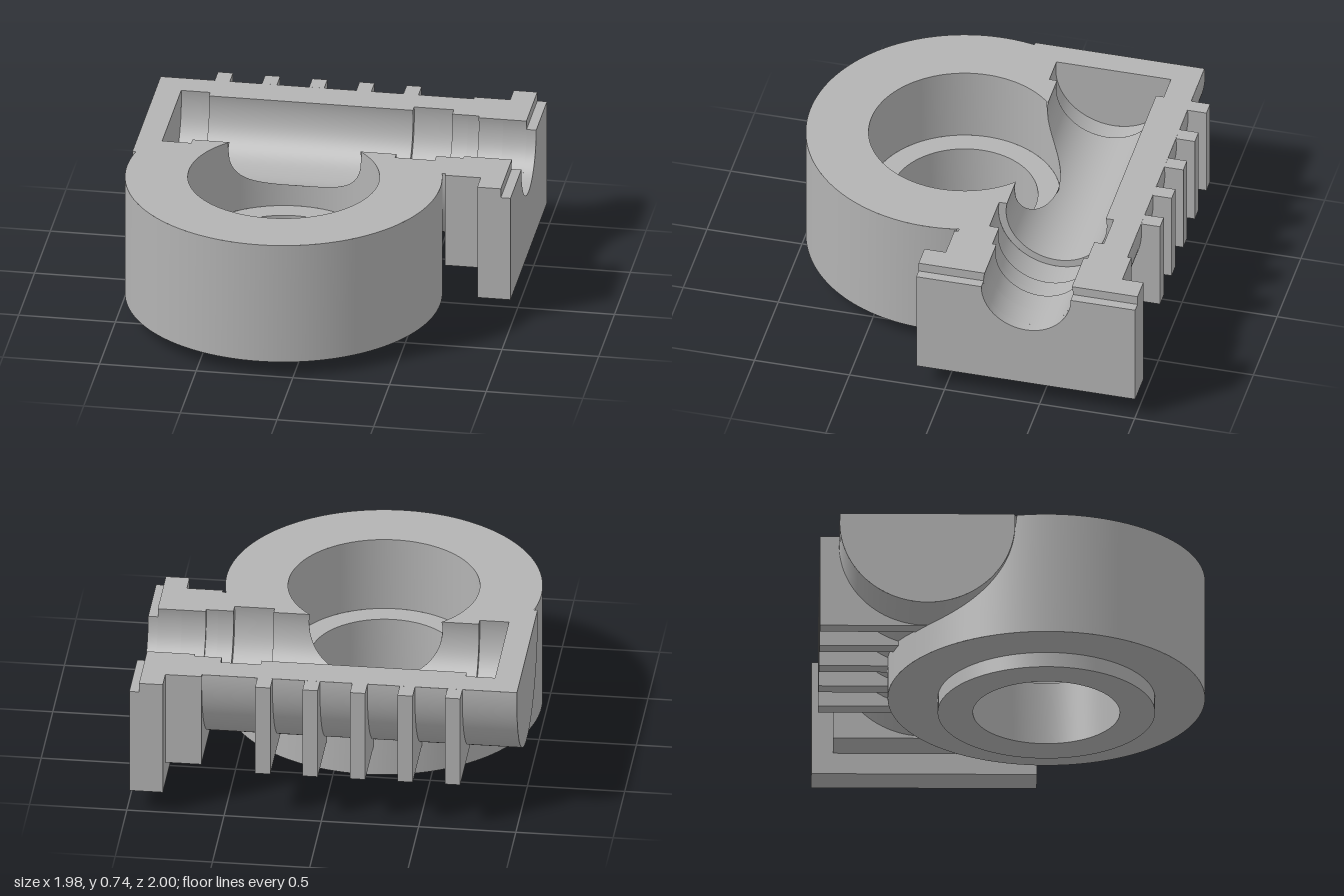
import * as THREE from 'three';
import { toCreasedNormals } from 'three/addons/utils/BufferGeometryUtils.js';

const TOP = 0.74;                                // split plane of the housing
const WX = -0.18, WZ = 0.19;                     // wheel axis (vertical)
const SY = 0.69, SZ = -0.425;                    // shaft axis (along x)
const RIM = 0.81, POCKET = 0.49, LEDGE = 0.34;   // wheel housing radii, pocket floor
const SHELL = 0.448;                             // shaft housing radius
// stepped shaft bore: [x start, x end, radius]
const BORE = [[-0.86, -0.71, 0.305], [-0.71, 0.345, 0.265], [0.345, 0.55, 0.305], [0.55, 0.63, 0.255]];

// Half width of a shaft-axis circle where it meets the split plane
const half = (r) => Math.sqrt(r * r - (TOP - SY) ** 2);
// Half width in x of a wheel-axis circle at a given z
const chord = (R, z) => Math.sqrt(Math.max(0, R * R - (z - WZ) ** 2));

// Point on a shaft-axis arc, t from 0 (back edge) to 1 (front edge), as [y, z]
function arc(r, t) {
  if (r === 0) return [TOP, SZ];
  const a = (2 * t - 1) * (Math.PI / 2 + Math.asin((TOP - SY) / r));
  return [SY - r * Math.cos(a), SZ + r * Math.sin(a)];
}

// Grid surface from fn(u, v) -> [x, y, z]
function grid(nu, nv, fn) {
  const pos = [], idx = [];
  for (let i = 0; i <= nu; i++) {
    for (let j = 0; j <= nv; j++) {
      pos.push(...fn(i / nu, j / nv));
      if (i < nu && j < nv) {
        const a = i * (nv + 1) + j, b = a + nv + 1;
        idx.push(a, b, a + 1, b, b + 1, a + 1);
      }
    }
  }
  const g = new THREE.BufferGeometry();
  g.setAttribute('position', new THREE.Float32BufferAttribute(pos, 3));
  g.setIndex(idx);
  g.computeVertexNormals();
  return g;
}

// Trough along x, left open where the wheel circle R passes through it
function trough(x0, x1, r, R, side) {
  return grid(128, 1, (t, v) => {
    const [y, z] = arc(r, t);
    const inner = WX + side * chord(R, z);
    const end = side < 0 ? x0 : x1;
    return [end + (inner - end) * v, y, z];
  });
}

// Flat step between two radii at a given x
const step = (x, r0, r1) => grid(48, 1, (t, v) => [x, ...arc(v ? r1 : r0, t)]);

// Upright wheel wall whose top edge follows the shaft circle of radius r
function wall(R, y0, r) {
  return grid(256, 1, (u, v) => {
    const a = u * Math.PI * 2;
    const x = WX + R * Math.sin(a), z = WZ - R * Math.cos(a);
    const d = z - SZ;
    const top = Math.abs(d) < half(r) ? SY - Math.sqrt(r * r - d * d) : TOP;
    return [x, v ? top : y0, z];
  });
}

// Extrude a profile drawn in (z, y) from x0 to x1
function alongX(shape, x0, x1) {
  const g = new THREE.ExtrudeGeometry(shape, { depth: x1 - x0, bevelEnabled: false, curveSegments: 32 });
  g.rotateY(-Math.PI / 2);        // profile x becomes +z, depth becomes -x
  g.translate(x1, 0, 0);
  return toCreasedNormals(g, 0.5);
}

// Block with a round channel in its top
function block(x0, x1, z0, z1, y0, y1, r) {
  const s = new THREE.Shape();
  s.moveTo(z0, y1);
  s.lineTo(z0, y0);
  s.lineTo(z1, y0);
  s.lineTo(z1, y1);
  const lift = Math.asin((y1 - SY) / r);
  for (let i = 0; i <= 48; i++) {
    const a = (1 - 2 * i / 48) * (Math.PI / 2 + lift);
    s.lineTo(SZ + r * Math.sin(a), SY - r * Math.cos(a));
  }
  return alongX(s, x0, x1);
}

// Flat top: outer outline plus the shaft slot and wheel pocket, as one contour
function topFace() {
  const p = [[-0.99, -0.87], [0.63, -0.87]];
  const circle = (R, a0, a1) => {
    for (let i = 0; i <= 96; i++) {
      const a = a0 + (a1 - a0) * i / 96;
      p.push([WX + R * Math.sin(a), WZ - R * Math.cos(a)]);
    }
  };
  for (const [x0, x1, r] of [...BORE].reverse()) p.push([x1, SZ - half(r)], [x0, SZ - half(r)]);
  const [left, mid, ...rest] = BORE;
  p.push([left[0], SZ + half(left[2])], [left[1], SZ + half(left[2])]);
  const zm = SZ + half(mid[2]);
  p.push([mid[0], zm]);
  const a = Math.atan2(chord(POCKET, zm), WZ - zm);
  circle(POCKET, Math.PI * 2 - a, a);
  p.push([mid[1], zm]);
  for (const [x0, x1, r] of rest) p.push([x0, SZ + half(r)], [x1, SZ + half(r)]);
  p.push([0.63, 0.02]);
  const b = Math.atan2(chord(RIM, 0.02), WZ - 0.02);
  circle(RIM, b, Math.PI * 2 - b);
  p.push([-0.99, 0.02]);
  const g = new THREE.ShapeGeometry(new THREE.Shape(p.map(([x, z]) => new THREE.Vector2(x, -z))));
  g.rotateX(-Math.PI / 2);
  g.translate(0, TOP, 0);
  return g;
}

export function createModel() {
  const model = new THREE.Group();
  const metal = new THREE.MeshStandardMaterial({ color: 0xb3b3b3, side: THREE.DoubleSide });
  metal.name = 'grey metal';
  const add = (name, geometry) => {
    const m = new THREE.Mesh(geometry, metal);
    m.name = name;
    model.add(m);
    return m;
  };

  add('topFace', topFace());

  // Wheel housing: walls, underside, boss and hole
  add('wheelOuterWall', wall(RIM, 0.08, SHELL));
  add('wheelPocketWall', wall(POCKET, LEDGE, BORE[1][2]));
  const profile = [[POCKET, LEDGE], [0.375, LEDGE], [0.375, 0], [0.555, 0], [0.555, 0.08], [RIM, 0.08]];
  const base = new THREE.LatheGeometry(profile.map(([x, y]) => new THREE.Vector2(x, y)), 96);
  add('wheelBase', toCreasedNormals(base, 0.5)).position.set(WX, 0, WZ);

  // Shaft housing shell and its closed end
  for (const side of [-1, 1]) add('shaftShell', trough(-0.99, 0.63, SHELL, RIM, side));
  add('shaftEndFace', step(-0.99, 0, SHELL));

  // Stepped bore with shoulders between the steps
  let previous = 0;
  for (const [x0, x1, r] of BORE) {
    add('boreShoulder', step(x0, previous, r));
    previous = r;
    const open = r === BORE[1][2] ? POCKET : 0;
    if (open) for (const side of [-1, 1]) add('shaftBore', trough(x0, x1, r, open, side));
    else add('shaftBore', grid(64, 1, (t, v) => [v ? x1 : x0, ...arc(r, t)]));
  }

  // Neck and mounting flange on the open end
  add('neck', block(0.63, 0.69, -0.89, 0.04, 0.23, TOP, 0.255));
  add('neck', block(0.69, 0.815, -0.89, 0.04, 0.23, TOP, 0.235));
  add('flange', block(0.815, 0.937, -1, 0.152, 0.115, TOP, 0.235));
  add('flangeLip', block(0.937, 0.987, -1, 0.152, 0.115, SY, 0.235));

  // Cooling ribs on the back
  const rib = new THREE.Shape();
  rib.moveTo(-0.97, TOP);
  rib.lineTo(-0.97, 0.24);
  rib.lineTo(SZ, 0.24);
  for (let i = 0; i <= 32; i++) {
    const [y, z] = arc(SHELL, 0.5 - 0.5 * i / 32);
    rib.lineTo(z, y);
  }
  for (let i = 0; i < 5; i++) {
    const x = -0.71 + i * 0.244;
    add('rib', alongX(rib, x, x + 0.078));
  }
  return model;
}
